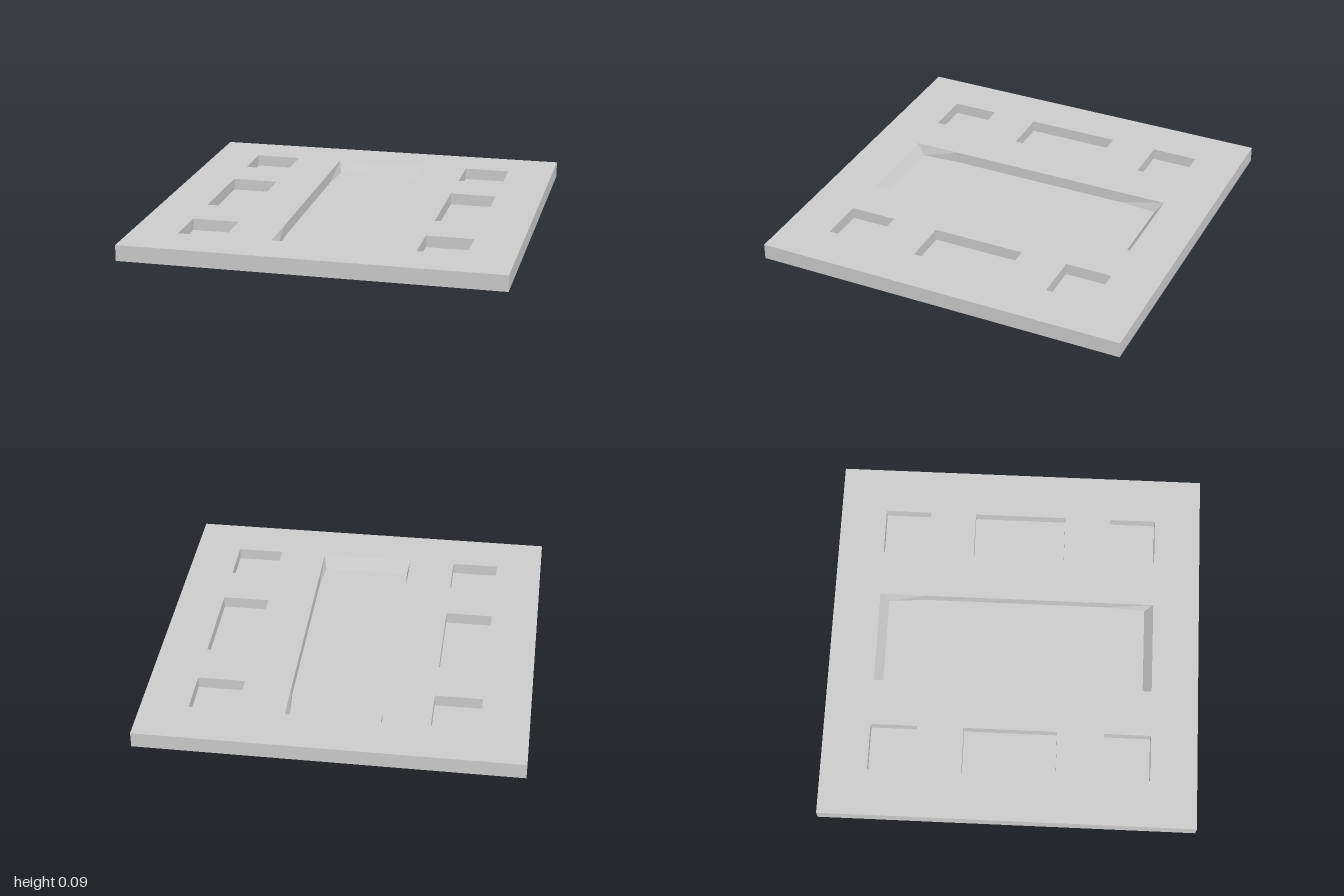
import * as THREE from 'three';

const TOP = 0.085;      // plate height
const FLOOR = 0.0225;   // height of the recess floors

const material = new THREE.MeshStandardMaterial({
  color: 0xcccccc, flatShading: true, side: THREE.DoubleSide,
});

// Loops are [x, -z] points, counter-clockwise seen from above.
const rect = (x0, y0, x1, y1) => [[x0, y0], [x1, y0], [x1, y1], [x0, y1]];
const toVectors = (loop) => loop.map(([x, y]) => new THREE.Vector2(x, y));

function addMesh(parent, name, geometry) {
  const mesh = new THREE.Mesh(geometry, material);
  mesh.name = name;
  parent.add(mesh);
}

// Horizontal face at height y, optionally pierced by holes
function sheet(loop, y, holes = []) {
  const shape = new THREE.Shape(toVectors(loop));
  for (const hole of holes) shape.holes.push(new THREE.Path(toVectors(hole)));
  return new THREE.ShapeGeometry(shape).rotateX(-Math.PI / 2).translate(0, y, 0);
}

// Band of quads joining an upper loop to a lower loop
function band(upper, yUpper, lower, yLower) {
  const positions = [];
  const n = upper.length;
  for (let i = 0; i < n; i++) {
    const j = (i + 1) % n;
    const at = ([x, y], h) => [x, h, -y];
    const a = at(lower[i], yLower), b = at(lower[j], yLower);
    const c = at(upper[j], yUpper), d = at(upper[i], yUpper);
    positions.push(...a, ...b, ...c, ...a, ...c, ...d);
  }
  const geometry = new THREE.BufferGeometry();
  geometry.setAttribute('position', new THREE.Float32BufferAttribute(positions, 3));
  geometry.computeVertexNormals();
  return geometry;
}

function addRecess(parent, name, rim, floor = rim) {
  const recess = new THREE.Group();
  recess.name = name;
  // Reversed loops make the walls face into the recess
  addMesh(recess, 'recessWalls', band([...rim].reverse(), TOP, [...floor].reverse(), FLOOR));
  addMesh(recess, 'recessFloor', sheet(floor, FLOOR));
  parent.add(recess);
}

export function createModel() {
  const model = new THREE.Group();
  model.name = 'recessedPanel';
  const outline = rect(-1, -1, 1, 1);
  const holes = [];

  // Three straight-walled pockets down each side
  for (const [side, x0, x1] of [['left', 0.5, 0.75], ['right', -0.75, -0.5]]) {
    for (const [place, y0, y1] of [['Front', -0.75, -0.5], ['Middle', -0.25, 0.25], ['Back', 0.5, 0.75]]) {
      const rim = rect(x0, y0, x1, y1);
      holes.push(rim);
      addRecess(model, `${side}${place}Pocket`, rim);
    }
  }

  // Long central recess whose ends slope in and narrow toward the floor
  const longLoop = (w, end) => [
    [-w, -end], [w, -end], [0.25, -0.5], [0.25, 0.5],
    [w, end], [-w, end], [-0.25, 0.5], [-0.25, -0.5],
  ];
  const rim = longLoop(0.25, 0.75);
  holes.push(rim);
  addRecess(model, 'centralRecess', rim, longLoop(0.235, 0.705));

  // Thin shell, open underneath
  addMesh(model, 'topPlate', sheet(outline, TOP, holes));
  addMesh(model, 'outerSkirt', band(outline, TOP, outline, 0));
  return model;
}
